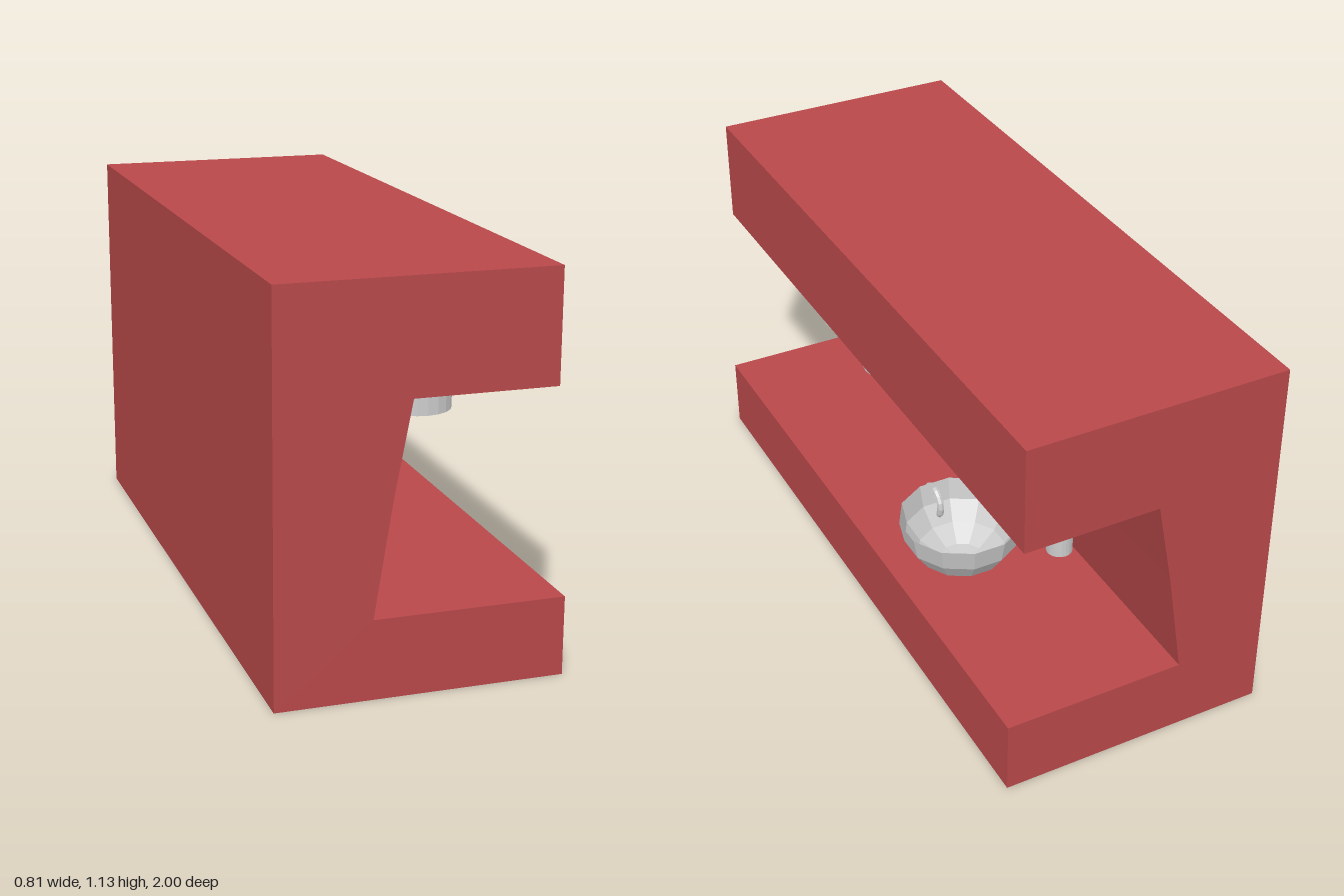
import * as THREE from 'three';

const red = new THREE.MeshStandardMaterial({ color: 0xb8484a, flatShading: true });
const grey = new THREE.MeshStandardMaterial({ color: 0xcccccc, flatShading: true });
const thinGrey = new THREE.MeshStandardMaterial({ color: 0xcccccc, flatShading: true, side: THREE.DoubleSide });

function addMesh(parent, name, geometry, material, x = 0, y = 0, z = 0) {
  const mesh = new THREE.Mesh(geometry, material);
  mesh.name = name;
  mesh.position.set(x, y, z);
  parent.add(mesh);
  return mesh;
}

export function createModel() {
  const model = new THREE.Group();
  model.name = 'coffeeMachine';

  // C-shaped housing: base, sloped back wall and overhanging top
  const profile = new THREE.Shape([
    [-0.407, 0], [0.405, 0], [0.405, 0.225], [-0.137, 0.225], [-0.085, 0.55],
    [-0.035, 0.812], [0.367, 0.812], [0.367, 1.13], [-0.407, 1.13],
  ].map(([x, y]) => new THREE.Vector2(x, y)));
  addMesh(model, 'housing', new THREE.ExtrudeGeometry(profile, { depth: 2, bevelEnabled: false }), red, 0, 0, -1);

  // Two brewing heads and a thin steam nozzle under the overhang
  const spouts = [
    ['brewHeadFront', 0.102, 0.635, 0.493],
    ['brewHeadMiddle', 0.102, 0.635, 0.187],
    ['steamNozzle', 0.036, 0.63, -0.829],
  ];
  for (const [name, radius, bottom, z] of spouts) {
    const height = 0.813 - bottom;
    addMesh(model, name, new THREE.CylinderGeometry(radius, radius, height, 20), grey, 0.163, bottom + height / 2, z);
  }

  // Cup: open faceted half-sphere with a ring handle
  const cup = new THREE.Group();
  cup.name = 'cup';
  cup.position.set(0.2, 0.412, -0.329);
  model.add(cup);
  const bowl = new THREE.SphereGeometry(0.186, 12, 4, 0, Math.PI * 2, Math.PI / 2, Math.PI / 2);
  bowl.rotateY(Math.PI / 12);
  bowl.scale(1, 0.963, 1);
  addMesh(cup, 'cupBowl', bowl, thinGrey);
  const handle = new THREE.TorusGeometry(0.046, 0.011, 8, 16);
  handle.rotateY(Math.PI / 2);
  addMesh(cup, 'cupHandle', handle, grey, 0, -0.072, 0.184);

  return model;
}
